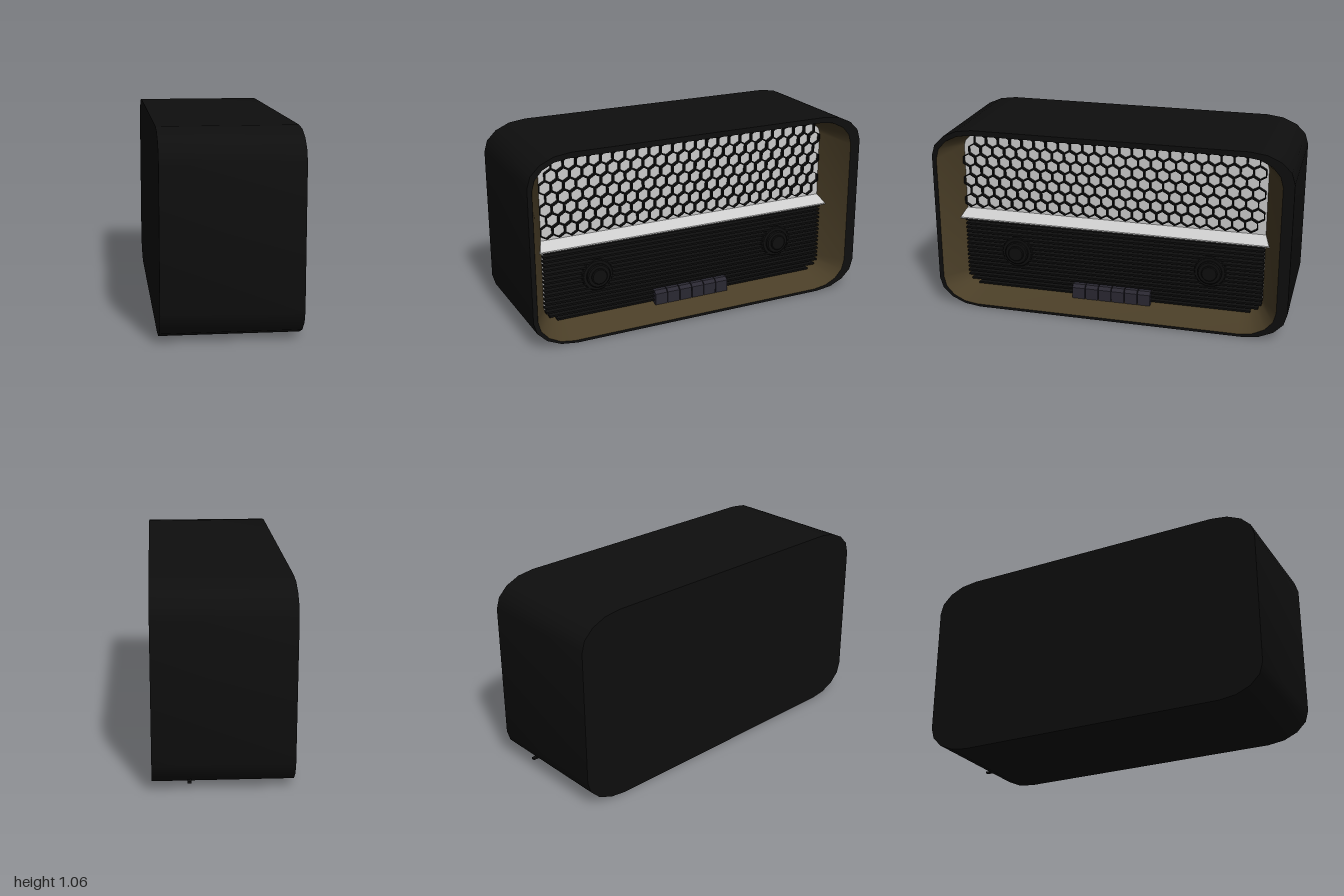
import * as THREE from 'three';
import { mergeGeometries, toCreasedNormals } from 'three/addons/utils/BufferGeometryUtils.js';

const mat = (color, side = THREE.FrontSide) => new THREE.MeshStandardMaterial({ color, side });

// Rounded rectangle with elliptical corners, counter-clockwise
function outline(x0, x1, y0, y1, rx, ry, seg = 4) {
  const corners = [[x1 - rx, y0 + ry, -1], [x1 - rx, y1 - ry, 0], [x0 + rx, y1 - ry, 1], [x0 + rx, y0 + ry, 2]];
  return corners.flatMap(([cx, cy, q]) => Array.from({ length: seg + 1 }, (_, i) => {
    const a = (q + i / seg) * Math.PI / 2;
    return new THREE.Vector2(cx + rx * Math.cos(a), cy + ry * Math.sin(a));
  }));
}

// Skin running through a list of [outline, z] sections
function loft(sections) {
  const pos = [];
  for (let s = 0; s + 1 < sections.length; s++) {
    const [A, za] = sections[s], [B, zb] = sections[s + 1];
    for (let i = 0; i < A.length; i++) {
      const j = (i + 1) % A.length;
      const a = [A[i].x, A[i].y, za], b = [A[j].x, A[j].y, za];
      const c = [B[j].x, B[j].y, zb], d = [B[i].x, B[i].y, zb];
      pos.push(...a, ...b, ...c, ...a, ...c, ...d);
    }
  }
  const g = new THREE.BufferGeometry();
  g.setAttribute('position', new THREE.Float32BufferAttribute(pos, 3));
  return toCreasedNormals(g, 0.6);
}

export function createModel() {
  const root = new THREE.Group();
  root.name = 'tableRadio';
  // Built facing +z, then turned so the dial side faces +x
  const body = new THREE.Group();
  body.name = 'radioBody';
  body.rotation.y = Math.PI / 2;
  root.add(body);
  const add = (name, geometry, material) => {
    const m = new THREE.Mesh(geometry, material);
    m.name = name;
    body.add(m);
    return m;
  };

  const black = mat(0x0e0e0e), brown = mat(0x4a3e27), grey = mat(0xcccccc), keyMat = mat(0x2a2832);
  const FRONT = 0.36, PANEL = 0.18, L = -0.88, R = 0.845;
  const outer = outline(-1, 1, 0, 1.06, 0.24, 0.16);
  const opening = outline(-0.975, 0.94, 0.015, 1.03, 0.2, 0.15);
  const panel = outline(L, R, 0.075, 0.99, 0.12, 0.075);

  // Cabinet shell, back and tapered lining
  add('cabinet', loft([[outer, -FRONT], [outer, FRONT], [opening, FRONT]]), black);
  add('cabinetBack', new THREE.ShapeGeometry(new THREE.Shape(outer)).rotateY(Math.PI).translate(0, 0, -FRONT), black);
  add('recessLining', loft([[opening, FRONT], [panel, PANEL]]), brown);
  add('frontPanel', new THREE.ShapeGeometry(new THREE.Shape(panel)).translate(0, 0, PANEL), grey);

  // Honeycomb speaker grille
  const hexPath = (T, r) => new T(Array.from({ length: 6 }, (_, i) => {
    const a = (i + 0.5) * Math.PI / 3;
    return new THREE.Vector2(r * Math.cos(a), r * Math.sin(a));
  }));
  const cellShape = hexPath(THREE.Shape, 0.0408);
  cellShape.holes.push(hexPath(THREE.Path, 0.0355));
  const cell = new THREE.ExtrudeGeometry(cellShape, { depth: 0.02, bevelEnabled: false });
  const cells = [];
  const pitch = 0.0702;
  for (let row = 0; row < 7; row++) {
    const inset = row === 6 ? 0.06 : row === 5 ? 0.015 : 0;
    for (let x = L + 0.03 + (row % 2) * pitch / 2; x < R - 0.015; x += pitch) {
      if (x < L + inset || x > R - inset) continue;
      cells.push(cell.clone().translate(x, 0.588 + row * 0.0607, PANEL));
    }
  }
  add('honeycombGrille', mergeGeometries(cells), black);

  // Horizontal louvres, shortened near the rounded lower corners
  const bars = [];
  for (let i = 0; i < 17; i++) {
    const y = 0.084 + i * 0.0245;
    const t = Math.max(0, (0.15 - y) / 0.075);
    const cut = 0.12 * (1 - Math.sqrt(1 - t * t));
    bars.push(new THREE.BoxGeometry(R - L - 2 * cut, 0.01, 0.035).translate((L + R) / 2, y, PANEL + 0.0175));
  }
  add('louvres', mergeGeometries(bars), black);

  // Sloping divider shelf, its ends flaring outward toward the lower edge
  const profile = new THREE.Shape([[-0.175, 0.542], [-0.175, 0.488], [-0.235, 0.488], [-0.235, 0.495]]
    .map(p => new THREE.Vector2(...p)));
  const shelf = new THREE.ExtrudeGeometry(profile, { depth: R - L, bevelEnabled: false });
  shelf.translate(0, 0, -(R - L) / 2).rotateY(Math.PI / 2);
  const sp = shelf.attributes.position;
  for (let i = 0; i < sp.count; i++) {
    sp.setX(i, sp.getX(i) + Math.sign(sp.getX(i)) * (0.542 - sp.getY(i)) * 0.5);
  }
  shelf.translate((L + R) / 2, 0, 0).computeVertexNormals();
  add('dividerShelf', shelf, grey);

  // Stepped tuning knobs
  const knob = [[0.09, 0], [0.09, 0.03], [0.084, 0.036], [0.068, 0.036], [0.068, 0.048], [0.062, 0.053],
    [0.045, 0.053], [0.045, 0.06], [0.04, 0.064], [0, 0.064]].map(p => new THREE.Vector2(...p));
  const knobGeo = toCreasedNormals(new THREE.LatheGeometry(knob, 28).rotateX(Math.PI / 2), 0.5);
  for (const [name, x] of [['tuningKnob', -0.575], ['volumeKnob', 0.55]]) {
    add(name, knobGeo, black).position.set(x, 0.3, PANEL);
  }

  // Row of six piano keys with a chamfered top front edge
  const keyShape = new THREE.Shape([[-0.16, 0.06], [-0.235, 0.06], [-0.235, 0.125], [-0.218, 0.142], [-0.16, 0.142]]
    .map(p => new THREE.Vector2(...p)));
  const keyGeo = new THREE.ExtrudeGeometry(keyShape, { depth: 0.072, bevelEnabled: false })
    .translate(0, 0, -0.036).rotateY(Math.PI / 2);
  for (let i = 0; i < 6; i++) add('pushKey', keyGeo, keyMat).position.x = -0.203 + i * 0.0766;

  // Small stub low on the cabinet side
  add('sideStub', new THREE.BoxGeometry(0.06, 0.01, 0.02).translate(0.938, 0.053, 0.17), black);
  return root;
}
